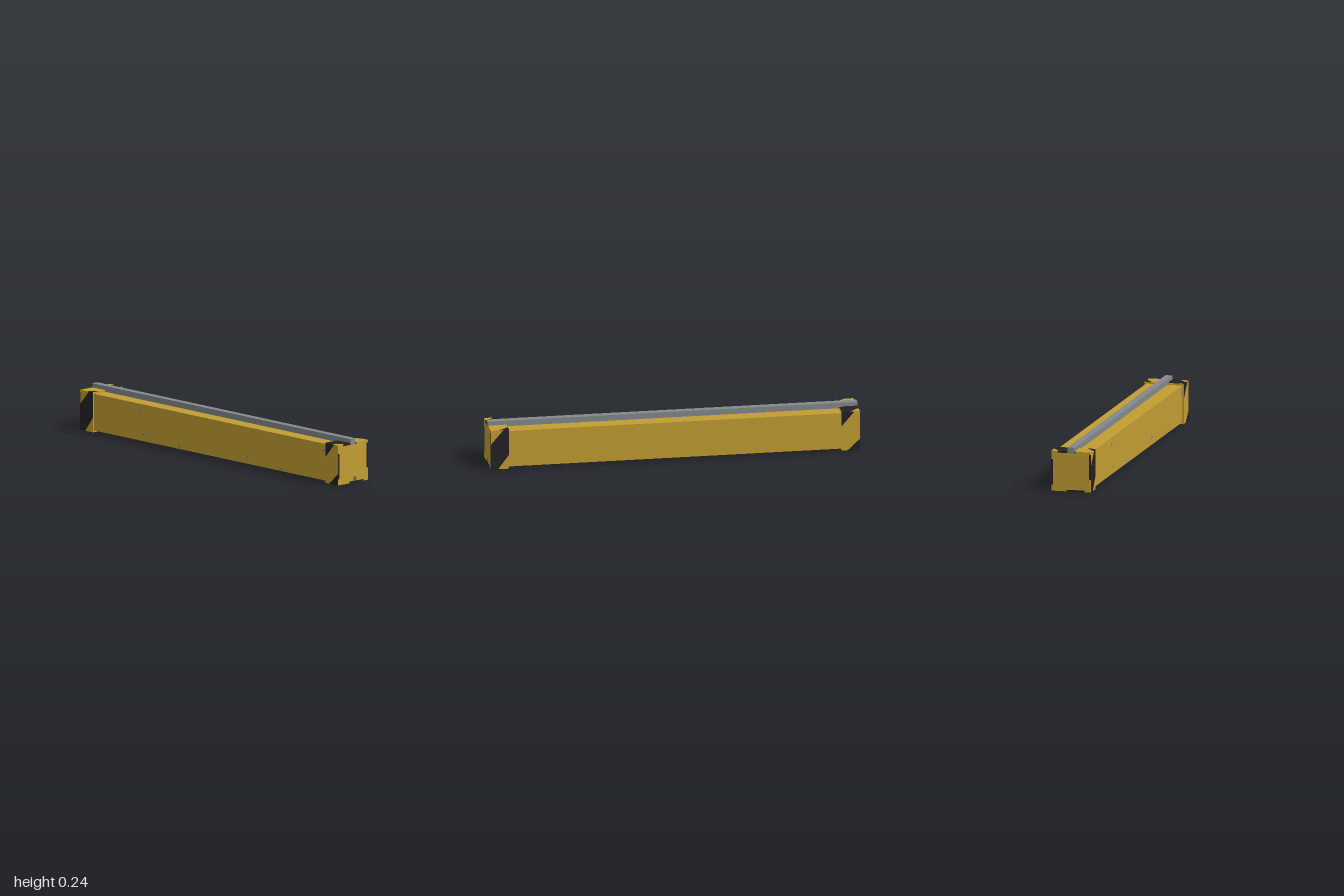
import * as THREE from 'three';

const yellow = new THREE.MeshStandardMaterial({ color: 0xc29d32 });
yellow.name = 'safety yellow';
const black = new THREE.MeshStandardMaterial({ color: 0x222224, side: THREE.DoubleSide });
black.name = 'stripe black';
const grey = new THREE.MeshStandardMaterial({ color: 0x84898b });
grey.name = 'rail grey';
const bronze = new THREE.MeshStandardMaterial({ color: 0x74684a });
bronze.name = 'socket bronze';

function box(name, mat, w, h, d, x, y, z) {
  const mesh = new THREE.Mesh(new THREE.BoxGeometry(w, h, d), mat);
  mesh.name = name;
  mesh.position.set(x, y, z);
  return mesh;
}

// Flat painted patch from outline points; horizontal patches use [x, z] points
function patch(name, pts, level, horizontal) {
  const shape = new THREE.Shape(pts.map(([u, v]) => new THREE.Vector2(u, horizontal ? -v : v)));
  const mesh = new THREE.Mesh(new THREE.ShapeGeometry(shape), black);
  mesh.name = name;
  if (horizontal) {
    mesh.rotation.x = -Math.PI / 2;
    mesh.position.y = level;
  } else mesh.position.z = level;
  return mesh;
}

// Collar with diagonal warning stripes at the +x end
function makeCollar() {
  const g = new THREE.Group();
  g.add(box('collar', yellow, 0.099, 0.218, 0.218, 0.9495, 0.11, 0));
  const f = 0.11;

  // Front and back stripes
  g.add(patch('frontStripeUpper', [[0.9, 0.14], [0.97, 0.22], [0.9, 0.22]], f));
  g.add(patch('frontStripeLower', [[0.93, 0], [1, 0], [1, 0.065]], f));
  g.add(patch('backStripe',
    [[1, 0], [0.96, 0], [0.9, 0.08], [0.9, 0.22], [0.93, 0.22], [1, 0.14]], -f));

  // Top and bottom stripes
  g.add(patch('topStripeCorner', [[0.9, -0.11], [0.955, -0.11], [0.9, -0.065]], 0.22, true));
  g.add(patch('topStripe',
    [[0.9, 0.03], [1, -0.025], [1, 0.06], [0.945, 0.11], [0.9, 0.11]], 0.22, true));
  g.add(patch('bottomStripe', [[0.9, 0.1], [1, 0.025], [1, -0.075], [0.9, 0]], 0, true));

  // Dark edges showing on the end face
  const t = 0.002, x = 0.999;
  g.add(box('frontEdge', black, t, 0.137, 0.01, x, 0.1035, 0.105));
  g.add(box('backEdge', black, t, 0.136, 0.01, x, 0.138, -0.105));
  g.add(box('topEdge', black, t, 0.01, 0.1, x, 0.215, 0.025));
  g.add(box('bottomEdge', black, t, 0.01, 0.1, x, 0.005, -0.025));
  return g;
}

export function createModel() {
  const model = new THREE.Group();
  model.name = 'stripedBeam';

  model.add(box('beam', yellow, 1.99, 0.2, 0.2, 0, 0.11, 0));
  model.add(box('topRail', grey, 2, 0.032, 0.038, 0, 0.225, 0));

  // The two ends match under a half turn
  for (const [name, turn] of [['rightCollar', 0], ['leftCollar', Math.PI]]) {
    const collar = makeCollar();
    collar.name = name;
    collar.rotation.y = turn;
    model.add(collar);
  }

  // Small studs along the front
  for (const [x, y] of [[-0.54, 0.175], [-0.515, 0.05], [-0.24, 0.022],
    [0.285, 0.05], [0.555, 0.022], [0.885, 0.175]]) {
    model.add(box('stud', grey, 0.018, 0.014, 0.004, x, y, 0.1));
  }

  // Small socket on the end face
  model.add(box('socket', bronze, 0.002, 0.018, 0.024, 0.999, 0.019, -0.012));
  model.add(box('socketTip', bronze, 0.002, 0.007, 0.01, 0.999, 0.0315, -0.012));
  return model;
}
